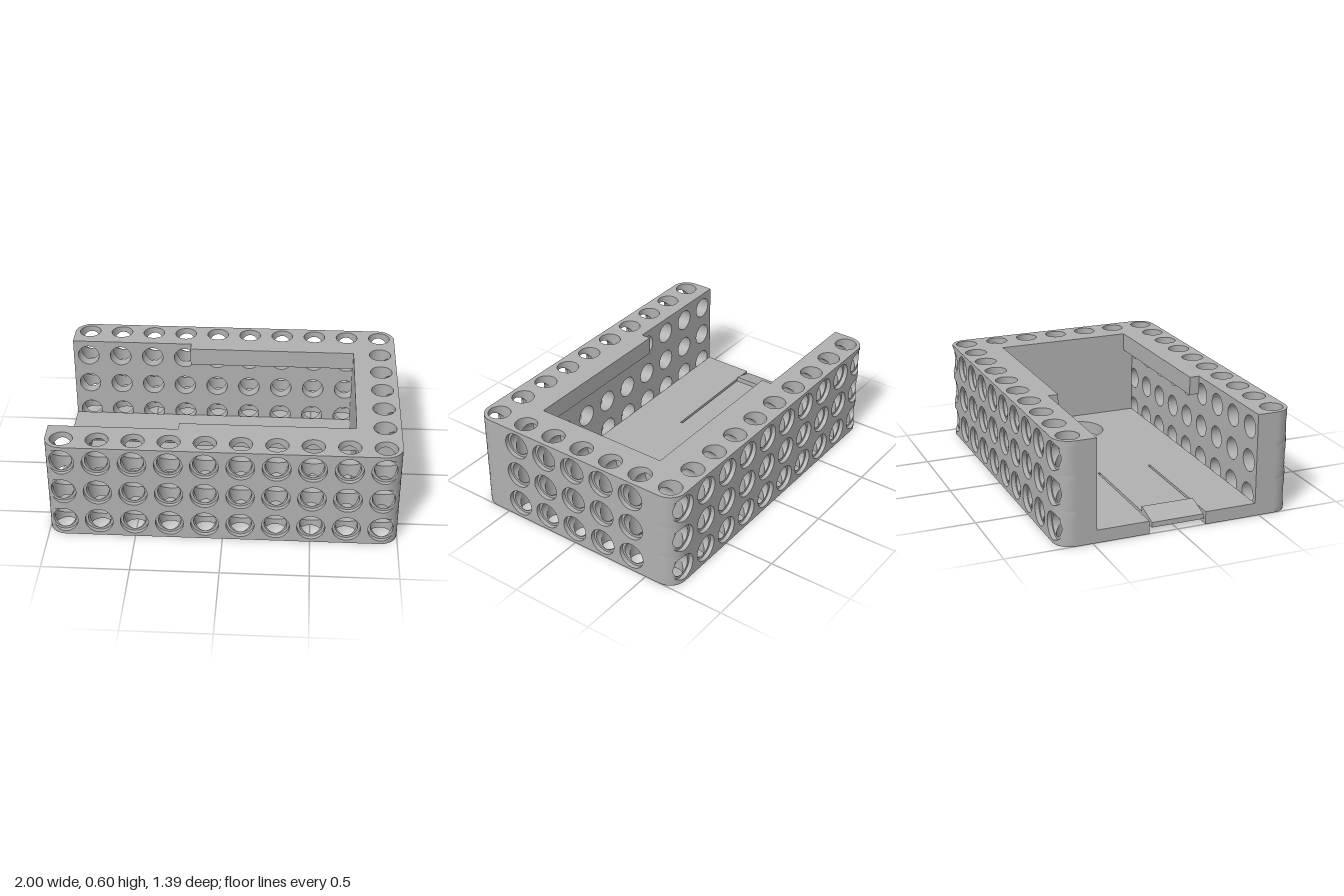
import * as THREE from 'three';
import { mergeGeometries } from 'three/addons/utils/BufferGeometryUtils.js';

const PITCH = 0.2015, R = 0.065, RIM = 0.08, H = 0.6;
const HX = 1, HZ = 0.695, CORNER = 0.1;
const IN_Z = 0.475, IN_X = 0.745, FLOOR = 0.075;   // inner cavity
const SEAT = 0.025, DEPTH = 0.22;                  // counterbore and bore depth
const ROWS = [0.1, 0.3, 0.5];
const { cos, sin, abs, max, min, PI, sign } = Math;
const lerp = THREE.MathUtils.lerp, clamp = THREE.MathUtils.clamp;

// Surface swept round an angle a, from t = 0 to t = 1
function sheet(fn, steps = 1, n = 40) {
  const pos = [], idx = [];
  for (let j = 0; j <= steps; j++)
    for (let i = 0; i <= n; i++) pos.push(...fn((i / n) * 2 * PI, j / steps));
  for (let j = 0; j < steps; j++)
    for (let i = 0; i < n; i++) {
      const a = j * (n + 1) + i, b = a + n + 1;
      idx.push(a, b, a + 1, a + 1, b, b + 1);
    }
  const g = new THREE.BufferGeometry();
  g.setAttribute('position', new THREE.Float32BufferAttribute(pos, 3));
  g.setIndex(idx);
  g.computeVertexNormals();
  return g;
}

// Wall face with rounded ends: z over x, and the same by arc length u
const STRAIGHT = HX - CORNER;
const bend = x => max(0, abs(x) - STRAIGHT);
const faceZ = (x, top) => top - CORNER + Math.sqrt(max(0, CORNER ** 2 - bend(x) ** 2));
const toArc = x => sign(x) * (min(abs(x), STRAIGHT) + CORNER * Math.asin(min(1, bend(x) / CORNER)));
function fromArc(u, y, top) {
  const e = bend(u) / CORNER;
  return [sign(u) * (min(abs(u), STRAIGHT) + CORNER * sin(e)), y, top - CORNER * (1 - cos(e))];
}
// Point on a cell's border in direction a
function border(a, x, y, lo, hi) {
  const c = cos(a), s = sin(a), m = max(abs(c), abs(s));
  return [x + (c / m) * (c > 0 ? hi - x : x - lo), y + (s / m) * 0.1];
}

// One wall cell: outer face, counterbore, and bore trimmed against the upright hole
function cell(x, y, lo, hi, top, mid, blind) {
  const at = (r, a, z) => [x + r * cos(a), y + r * sin(a), z];
  const face = (r, a) => faceZ(x + r * cos(a), top);
  const seat = (r, a) => min(face(r, a), top - SEAT);
  const end = top - DEPTH;
  const parts = [
    sheet((a, t) => {
      const [bu, bv] = border(a, toArc(x), y, lo, hi);
      return fromArc(lerp(toArc(x + RIM * cos(a)), bu, t), lerp(y + RIM * sin(a), bv, t), top);
    }, 6),
    sheet((a, t) => at(RIM, a, lerp(face(RIM, a), seat(RIM, a), t))),
    sheet((a, t) => { const r = lerp(RIM, R, t); return at(r, a, seat(r, a)); }, 2),
    sheet((a, t) => at(R, a, lerp(seat(R, a), mid + R * abs(sin(a)), t))),
    sheet((a, t) => at(R, a, lerp(mid - R * abs(sin(a)), end, t))),
  ];
  if (blind) parts.push(sheet((a, t) => at(R * (1 - t), a, end)));
  else parts.push(sheet((a, t) => {                // inner wall face
    const b = border(a, x, y, lo, hi);
    return [clamp(lerp(x + R * cos(a), b[0], t), -HX, IN_X),
      max(FLOOR, lerp(y + R * sin(a), b[1], t)), end];
  }));
  return parts;
}

// Upright hole, interrupted wherever a bore crosses it
function upright(x, mid) {
  const levels = [null, ...ROWS, null], parts = [];
  for (let k = 0; k < levels.length - 1; k++)
    parts.push(sheet((a, t) => {
      const gap = R * abs(sin(a));
      const y0 = levels[k] === null ? 0 : levels[k] + gap;
      const y1 = levels[k + 1] === null ? H : levels[k + 1] - gap;
      return [x + R * cos(a), lerp(y0, y1, t), mid + R * sin(a)];
    }));
  return parts;
}

function wall(count, endU, top, mid, isBlind) {
  const parts = [];
  for (let i = 0; i < count; i++) {
    const x = (i - (count - 1) / 2) * PITCH;
    const lo = i === 0 ? -endU : x - PITCH / 2;
    const hi = i === count - 1 ? endU : x + PITCH / 2;
    for (const y of ROWS) parts.push(...cell(x, y, lo, hi, top, mid, isBlind(i)));
    parts.push(...upright(x, mid));
  }
  return mergeGeometries(parts);
}

function circle(x, y, r) {
  return new THREE.Path().absarc(x, y, r, 0, 2 * PI, true);
}

export function createModel() {
  const model = new THREE.Group();
  const grey = new THREE.MeshStandardMaterial({ color: 0xb0b0b0, side: THREE.DoubleSide });
  grey.name = 'grey plastic';
  const add = (name, geo, x = 0, y = 0, z = 0) => {
    const m = new THREE.Mesh(geo, grey);
    m.name = name;
    m.position.set(x, y, z);
    model.add(m);
    return m;
  };
  const block = (name, x0, x1, y0, y1, z0, z1) =>
    add(name, new THREE.BoxGeometry(x1 - x0, y1 - y0, z1 - z0),
      (x0 + x1) / 2, (y0 + y1) / 2, (z0 + z1) / 2);

  // Perforated walls
  const longMid = 3 * PITCH, endMid = 4.5 * PITCH;
  const longWall = wall(10, STRAIGHT + CORNER * PI / 2, HZ, longMid, i => i === 9);
  add('frontWall', longWall);
  add('backWall', longWall).scale.z = -1;
  add('endWall', wall(5, HZ - CORNER, HX, endMid, () => true).rotateY(PI / 2));
  block('endWallLining', IN_X, IN_X + 0.03, 0.001, H - 0.001, -IN_Z, IN_Z);

  // U-shaped rims with upright holes, top and bottom
  const c = HZ - CORNER, rim = new THREE.Shape();
  rim.moveTo(-HX, -IN_Z).lineTo(-HX, -c);
  rim.absarc(-STRAIGHT, -c, CORNER, PI, 1.5 * PI);
  rim.absarc(STRAIGHT, -c, CORNER, -PI / 2, 0);
  rim.absarc(STRAIGHT, c, CORNER, 0, PI / 2);
  rim.absarc(-STRAIGHT, c, CORNER, PI / 2, PI);
  rim.lineTo(-HX, IN_Z).lineTo(IN_X, IN_Z).lineTo(IN_X, -IN_Z);
  for (let i = 0; i < 10; i++)
    for (const s of [-1, 1]) rim.holes.push(circle((i - 4.5) * PITCH, s * longMid, R));
  for (let i = -2; i <= 2; i++) rim.holes.push(circle(endMid, i * PITCH, R));
  add('topRim', new THREE.ShapeGeometry(rim, 20).rotateX(-PI / 2), 0, H);
  add('bottomRim', new THREE.ShapeGeometry(rim, 20).rotateX(PI / 2));

  // Lips under the rim and flat ends of the long walls
  for (const s of [-1, 1]) {
    block('lip', -0.26, IN_X, 0.49, H, s > 0 ? 0.415 : -IN_Z, s > 0 ? IN_Z : -0.415);
    add('wallEnd', new THREE.PlaneGeometry(c - IN_Z, H).rotateY(-PI / 2),
      -HX, H / 2, s * (c + IN_Z) / 2);
  }

  // Floor with round opening and a notch for the latch
  const slotX = -0.246, slotZ = 0.169, floor = new THREE.Shape();
  floor.moveTo(-HX, -IN_Z).lineTo(IN_X, -IN_Z).lineTo(IN_X, IN_Z).lineTo(-HX, IN_Z);
  floor.lineTo(-HX, slotZ).lineTo(slotX, slotZ).lineTo(slotX, -slotZ).lineTo(-HX, -slotZ);
  floor.holes.push(circle(0.49, 0, 0.152));
  add('floor', new THREE.ExtrudeGeometry(floor,
    { depth: FLOOR, bevelEnabled: false, curveSegments: 48 }).rotateX(-PI / 2));

  // Springy latch tongue with a ramped catch
  const tongue = new THREE.Shape([[-HX, 0.035], [slotX, 0.035], [slotX, FLOOR],
    [-0.86, FLOOR], [-0.86, 0.105], [-HX, 0.065]].map(p => new THREE.Vector2(...p)));
  add('latchTongue', new THREE.ExtrudeGeometry(tongue,
    { depth: 0.31, bevelEnabled: false }), 0, 0, -0.155);

  return model;
}
